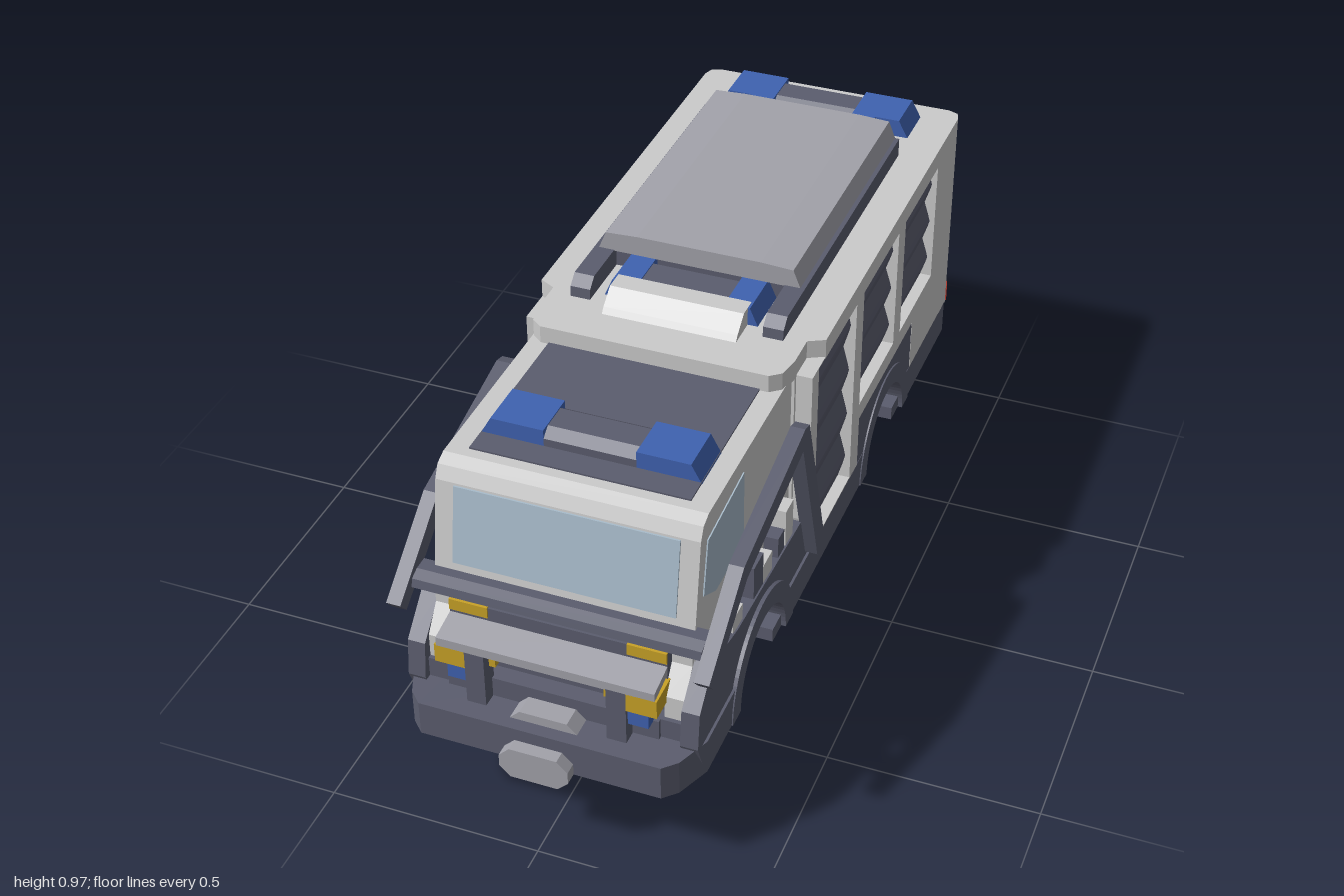
import * as THREE from 'three';

export function createModel() {
  const root = new THREE.Group();
  const mat = (color) => new THREE.MeshStandardMaterial({ color, flatShading: true });
  const white = mat(0xcccccc), dark = mat(0x5b5d6e), grey = mat(0xa2a2aa), blue = mat(0x3f62b0);
  const yellow = mat(0xc9a227), red = mat(0xb03a2e), black = mat(0x222222), glass = mat(0xa9bccb);

  const add = (name, geo, m) => {
    const mesh = new THREE.Mesh(geo, m);
    mesh.name = name;
    root.add(mesh);
    return mesh;
  };
  const poly = (pts) => new THREE.Shape(pts.map(([a, b]) => new THREE.Vector2(a, b)));
  const extrude = (shape, depth) =>
    new THREE.ExtrudeGeometry(shape, { depth, bevelEnabled: false, curveSegments: 16 });
  // box from its limits
  const box = (name, m, x0, x1, y0, y1, z0, z1) =>
    add(name, new THREE.BoxGeometry(x1 - x0, y1 - y0, z1 - z0)
      .translate((x0 + x1) / 2, (y0 + y1) / 2, (z0 + z1) / 2), m);
  // side profile in (z, y), running from x0 to x1
  const profile = (name, m, shape, x0, x1) =>
    add(name, extrude(shape, x1 - x0).rotateY(-Math.PI / 2).translate(x1, 0, 0), m);
  // plan outline in (x, z), running from y0 to y1
  const plan = (name, m, shape, y0, y1) =>
    add(name, extrude(shape, y1 - y0).rotateX(Math.PI / 2).translate(0, y1, 0), m);
  // front outline in (x, y), running from z0 to z1
  const front = (name, m, shape, z0, z1) =>
    add(name, extrude(shape, z1 - z0).translate(0, 0, z0), m);
  const mirrored = (half) => poly([...half, ...half.slice().reverse().map(([x, z]) => [-x, z])]);
  const both = (name, m, x0, x1, y0, y1, z0, z1) => {
    box(name, m, x0, x1, y0, y1, z0, z1);
    box(name, m, -x1, -x0, y0, y1, z0, z1);
  };
  const bothProfiles = (name, m, shape, x0, x1) => {
    profile(name, m, shape, x0, x1);
    profile(name, m, shape, -x1, -x0);
  };

  // chassis with wheel recesses and bevelled bumper corners
  const FZ = 0.51, RZ = -0.4, R = 0.15, AY = 0.235, WELL = 0.22;
  plan('chassis', dark, mirrored([
    [0.28, 0.97], [0.31, 0.94], [0.343, 0.86], [0.343, FZ + R], [WELL, FZ + R], [WELL, FZ - R],
    [0.343, FZ - R], [0.343, RZ + R], [WELL, RZ + R], [WELL, RZ - R], [0.343, RZ - R],
    [0.343, -0.93], [0.3, -0.975],
  ]), AY, 0.322);
  profile('underPlate', dark, poly([[0.73, AY], [0.73, 0.19], [-0.73, 0.19], [-0.765, AY]]), -0.25, 0.25);
  for (const [z0, z1, m] of [[0.55, 0.73, dark], [0.18, 0.55, white], [-0.26, 0.18, dark], [-0.73, -0.26, white]])
    both('underStrip', m, 0.25, 0.275, 0.19, AY, z0, z1);

  // centre wheel with bevelled tread
  add('wheel', new THREE.LatheGeometry(
    [[0, -0.08], [0.115, -0.08], [0.135, -0.04], [0.135, 0.04], [0.115, 0.08], [0, 0.08]]
      .map(([r, y]) => new THREE.Vector2(r, y)), 48).rotateZ(Math.PI / 2).translate(0, 0.136, -0.01), black);

  // body core, roof and rounded tail
  box('bodyCore', white, -0.305, 0.305, 0.42, 0.84, -0.93, 0.22);
  box('bodyFloor', dark, -WELL, WELL, 0.3, 0.43, -0.93, 0.8);
  both('bodySill', white, WELL, 0.305, 0.32, 0.43, -0.25, 0.2);
  both('bodySill', white, WELL, 0.305, 0.32, 0.43, -0.93, -0.56);
  plan('roof', white, mirrored([
    [0.27, 0.295], [0.295, 0.275], [0.305, 0.22], [0.305, 0.14], [0.343, 0.12], [0.343, -0.94],
    [0.335, -0.965], [0.31, -0.975],
  ]), 0.825, 0.875);
  plan('tail', white, mirrored([[0.343, -0.88], [0.343, -0.94], [0.335, -0.965], [0.31, -0.975]]), 0.32, 0.83);
  box('rearDoor', dark, -0.275, 0.275, 0.335, 0.845, -0.98, -0.96);
  for (const s of [1, -1])
    plan('tailLight', red, poly([[0.28, -0.979], [0.312, -0.979], [0.337, -0.968], [0.346, -0.94], [0.28, -0.94]]
      .map(([x, z]) => [s * x, z])), 0.325, 0.37);

  // side walls framing the roller shutters
  const wall = poly([[0.21, 0.83], [0.21, 0.43], [0.18, 0.32], [-0.17, 0.32], [-0.17, 0.46],
    [-0.61, 0.46], [-0.61, 0.32], [-0.9, 0.32], [-0.9, 0.83]]);
  const shutters = [[-0.11, 0.165, 0.325, 4], [-0.44, -0.165, 0.505, 3], [-0.77, -0.495, 0.505, 3]];
  for (const [z0, z1, y0] of shutters)
    wall.holes.push(new THREE.Path([[z0, y0], [z1, y0], [z1, 0.828], [z0, 0.828]]
      .map(([a, b]) => new THREE.Vector2(a, b))));
  bothProfiles('sideWall', white, wall, 0.303, 0.343);
  for (const [z0, z1, y0, n] of shutters) {
    const h = (0.828 - y0) / n;
    for (const s of [1, -1]) for (let i = 0; i < n; i++) {
      const y = y0 + i * h;
      front('shutterSlat', dark, poly([[s * 0.3, y], [s * 0.314, y], [s * 0.326, y + h * 0.35], [s * 0.33, y + h * 0.5],
        [s * 0.326, y + h * 0.65], [s * 0.314, y + h], [s * 0.3, y + h]]), z0, z1);
    }
  }

  // fenders, rear arch panels and wheel wells
  const arched = (z, before, after) => {
    const s = new THREE.Shape();
    s.moveTo(z + R, AY);
    before.forEach((p) => s.lineTo(...p));
    after.forEach((p) => s.lineTo(...p));
    s.lineTo(z - R, AY);
    s.absarc(z, AY, R, Math.PI, 0, true);
    return s;
  };
  bothProfiles('frontFender', dark, arched(FZ,
    [[0.86, AY], [0.9, 0.33], [0.89, 0.42], [0.81, 0.5]], [[0.66, 0.47], [0.24, 0.45], [0.17, 0.33], [0.17, AY]]), 0.296, 0.337);
  bothProfiles('rearArchPanel', dark, arched(RZ, [[-0.17, AY], [-0.17, 0.46]], [[-0.61, 0.46], [-0.61, AY]]), 0.296, 0.342);
  for (const z of [FZ, RZ]) {
    const ring = new THREE.Shape();
    ring.absarc(z, AY, 0.2, 0, Math.PI, false);
    ring.absarc(z, AY, R, Math.PI, 0, true);
    bothProfiles('wheelArch', dark, ring, WELL, 0.346);
    both('archFoot', dark, 0.25, 0.335, AY, 0.27, z - R, z - 0.09);
  }

  // cab with sloped windscreen
  profile('cab', white, poly([[0.2, 0.42], [0.8, 0.42], [0.82, 0.53], [0.78, 0.79], [0.765, 0.82],
    [0.735, 0.832], [0.2, 0.832]]), -0.298, 0.298);
  profile('windscreen', glass, poly([[0.8, 0.6], [0.813, 0.6], [0.785, 0.785], [0.77, 0.785]]), -0.255, 0.255);
  bothProfiles('sideWindow', glass, poly([[0.77, 0.64], [0.745, 0.77], [0.53, 0.79], [0.53, 0.6], [0.7, 0.6]]), 0.29, 0.301);
  box('cabRoofPanel', dark, -0.25, 0.25, 0.82, 0.836, 0.29, 0.71);

  // nose: grille, hood plate, guard posts and lamps
  box('grille', dark, -0.25, 0.25, 0.32, 0.53, 0.7, 0.85);
  bothProfiles('noseCheek', white, poly([[0.74, 0.37], [0.87, 0.37], [0.87, 0.43], [0.825, 0.49], [0.825, 0.535], [0.74, 0.535]]), 0.25, 0.296);
  both('noseCorner', dark, 0.24, 0.3, 0.32, 0.372, 0.66, 0.88);
  profile('hoodPlate', grey, poly([[0.8, 0.485], [0.8, 0.505], [0.925, 0.482], [0.925, 0.46]]), -0.25, 0.25);
  both('upperLamp', yellow, 0.16, 0.25, 0.505, 0.533, 0.8, 0.854);
  both('headlight', yellow, 0.185, 0.255, 0.415, 0.462, 0.82, 0.925);
  both('innerLamp', yellow, 0.125, 0.14, 0.415, 0.462, 0.84, 0.9);
  both('lowerLamp', blue, 0.18, 0.232, 0.37, 0.415, 0.82, 0.915);
  both('guardPost', dark, 0.14, 0.185, 0.32, 0.462, 0.88, 0.925);
  box('noseStep', dark, -0.245, 0.245, 0.32, 0.372, 0.8, 0.89);
  profile('frontCrossbar', dark, poly([[0.8, 0.535], [0.845, 0.535], [0.865, 0.55], [0.86, 0.57], [0.835, 0.58], [0.8, 0.58]]), -0.33, 0.33);

  // couplings and rear steps
  const coupling = (y0, y1) => poly([[-0.08, y0 + 0.025], [-0.055, y0], [0.055, y0], [0.08, y0 + 0.025],
    [0.08, y1 - 0.025], [0.055, y1], [-0.055, y1], [-0.08, y1 - 0.025]]);
  front('frontCoupling', grey, coupling(0.21, 0.29), 0.945, 1);
  front('bumperCoupling', grey, coupling(0.275, 0.345), 0.89, 0.94);
  front('rearCoupling', grey, coupling(0.21, 0.29), -1, -0.945);
  box('rearTowBlock', dark, -0.06, 0.06, 0.2, 0.24, -0.95, -0.83);
  both('rearStep', dark, 0.16, 0.25, 0.235, 0.265, -1, -0.93);
  both('rearTowBracket', dark, 0.13, 0.2, 0.215, 0.24, -0.95, -0.86);

  // bent arms along the cab
  bothProfiles('sideArm', dark, poly([[0.915, 0.535], [0.89, 0.505], [0.69, 0.645], [0.335, 0.725],
    [0.205, 0.335], [0.155, 0.35], [0.295, 0.77], [0.325, 0.778], [0.71, 0.69]]), 0.333, 0.367);

  // fittings on top of the fenders
  for (const [z0, z1, y1, m] of [[0.62, 0.68, 0.51, white], [0.49, 0.55, 0.55, dark], [0.43, 0.49, 0.51, white],
    [0.35, 0.39, 0.51, dark], [0.29, 0.34, 0.55, white]])
    both('fenderFitting', m, 0.29, 0.333, 0.44, y1, z0, z1);

  // light bars: rounded dark centre, blue tapered ends
  const lightBar = (y, w, taper, z0, z1) => {
    profile('lightBarCentre', dark, poly([[z0, y], [z0, y + 0.025], [z0 + 0.025, y + 0.043],
      [z1 - 0.025, y + 0.043], [z1, y + 0.025], [z1, y]]), -0.105, 0.105);
    for (const s of [1, -1])
      front('blueLight', blue, poly([[s * 0.105, y], [s * w, y], [s * (w - taper), y + 0.046], [s * 0.105, y + 0.046]]), z0, z1);
  };
  lightBar(0.83, 0.252, 0.025, 0.535, 0.65);
  lightBar(0.873, 0.185, 0.02, 0, 0.125);
  lightBar(0.873, 0.252, 0.025, -0.915, -0.8);
  lightBar(0.873, 0.185, 0.02, -0.8, -0.71);
  profile('roofLightCover', white, poly([[0.1, 0.87], [0.205, 0.87], [0.19, 0.888], [0.15, 0.92], [0.1, 0.92]]), -0.16, 0.16);

  // roof hatch on rails
  bothProfiles('roofRail', dark, poly([[0.158, 0.873], [0.155, 0.9], [0.13, 0.922], [-0.71, 0.922], [-0.71, 0.873]]), 0.207, 0.255);
  box('hatchBase', dark, -0.21, 0.21, 0.87, 0.93, -0.7, 0);
  front('roofHatch', grey, mirrored([[0.245, 0.92], [0.227, 0.965], [0.15, 0.969]]), -0.71, 0.012);

  return root;
}
